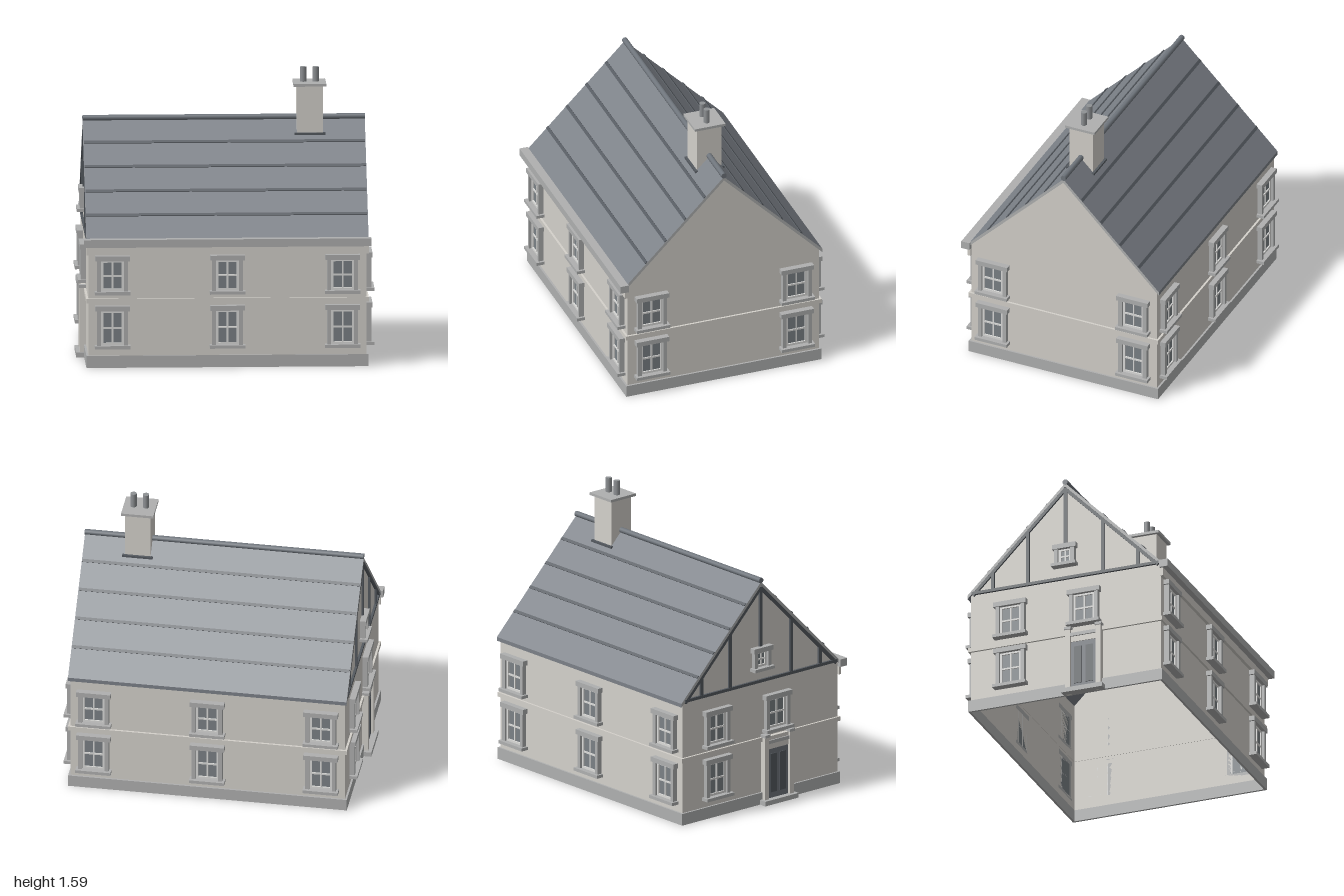
import * as THREE from 'three';

const mat = (name, color) => {
  const m = new THREE.MeshStandardMaterial({ color });
  m.name = name;
  return m;
};

// Half length, half width, eave height and ridge height of the wall shell
const L = 0.774, W = 0.569, EAVE = 0.715, PEAK = 1.288;
const SLOPE = (PEAK - EAVE) / W;

export function createModel() {
  const wall = mat('plaster', 0xd4d1cb);
  wall.side = THREE.DoubleSide;
  const stone = mat('greyStone', 0xafb0b0);
  const sash = mat('whiteSash', 0xdcdcda);
  const glass = mat('windowGlass', 0x7b8186);
  const door = mat('doorPaint', 0x6f757c);
  const slate = mat('roofSlate', 0x7c8188);
  const dark = mat('darkTimber', 0x555a60);
  const clay = mat('chimneyPot', 0x8f9295);

  const model = new THREE.Group();
  model.name = 'house';
  const house = new THREE.Group();
  house.name = 'turnedHouse';
  house.rotation.y = THREE.MathUtils.degToRad(41.2);
  house.position.set(-0.0215, 0, -0.014);
  model.add(house);

  const add = (parent, name, geo, m, x = 0, y = 0, z = 0) => {
    const mesh = new THREE.Mesh(geo, m);
    mesh.name = name;
    mesh.position.set(x, y, z);
    parent.add(mesh);
    return mesh;
  };
  // Box given by its bottom and top heights
  const box = (parent, name, m, w, y0, y1, d, x = 0, z = 0) =>
    add(parent, name, new THREE.BoxGeometry(w, y1 - y0, d), m, x, (y0 + y1) / 2, z);

  // Flat frame around the walls, open in the middle
  const ring = (name, m, out, y0, y1) => {
    const rect = (P, a, b) => {
      const p = new P();
      p.moveTo(-a, -b); p.lineTo(a, -b); p.lineTo(a, b); p.lineTo(-a, b); p.closePath();
      return p;
    };
    const s = rect(THREE.Shape, L + out, W + out);
    s.holes.push(rect(THREE.Path, L - 0.002, W - 0.002));
    const g = new THREE.ExtrudeGeometry(s, { depth: y1 - y0, bevelEnabled: false });
    g.rotateX(-Math.PI / 2);
    add(house, name, g, m, 0, y0, 0);
  };

  // One group per side; inside it x runs along the wall and z = 0 is its surface
  const side = (name, angle, dist) => {
    const turn = new THREE.Group(), face = new THREE.Group();
    turn.name = name + 'Side';
    face.name = name + 'Face';
    turn.rotation.y = angle;
    face.position.z = dist;
    turn.add(face);
    house.add(turn);
    return face;
  };
  const eaveFront = side('gutter', 0, W);
  const eaveBack = side('rear', Math.PI, W);
  const gableDoor = side('doorGable', -Math.PI / 2, L);
  const gablePlain = side('plainGable', Math.PI / 2, L);

  // Walls, open underneath
  for (const f of [eaveFront, eaveBack])
    add(f, 'longWall', new THREE.PlaneGeometry(2 * L, EAVE), wall, 0, EAVE / 2, 0);
  const gable = new THREE.Shape([[-W, 0], [W, 0], [W, EAVE], [0, PEAK], [-W, EAVE]]
    .map(p => new THREE.Vector2(...p)));
  for (const f of [gableDoor, gablePlain])
    add(f, 'gableWall', new THREE.ShapeGeometry(gable), wall);
  ring('plinth', stone, 0.011, 0, 0.068);
  ring('stringCourse', wall, 0.012, 0.365, 0.39);

  // Sash window with lintel, sill, jambs and crossed glazing bars
  const makeWindow = (face, x, y0, y1, w) => {
    const g = new THREE.Group();
    g.name = 'window';
    g.position.x = x;
    face.add(g);
    const a = y0 + 0.018, b = y1 - 0.028;
    box(g, 'sill', stone, w + 0.07, y0, a, 0.045, 0, 0.0225);
    box(g, 'lintel', stone, w + 0.065, b, y1, 0.034, 0, 0.017);
    box(g, 'glass', glass, w, a, b, 0.006, 0, 0.003);
    for (const s of [-1, 1]) {
      box(g, 'jamb', stone, 0.022, a, b, 0.028, s * (w / 2 + 0.011), 0.014);
      box(g, 'stile', sash, 0.013, a, b, 0.014, s * (w / 2 - 0.0065), 0.007);
    }
    box(g, 'bottomRail', sash, w, a, a + 0.013, 0.014, 0, 0.007);
    box(g, 'topRail', sash, w, b - 0.011, b, 0.014, 0, 0.007);
    box(g, 'glazingBar', sash, 0.009, a, b, 0.011, 0, 0.0055);
    box(g, 'meetingRail', sash, w, (a + b) / 2 - 0.005, (a + b) / 2 + 0.005, 0.012, 0, 0.006);
  };
  const floors = [[0.11, 0.35], [0.415, 0.633]];
  for (const [y0, y1] of floors) {
    for (const f of [eaveFront, eaveBack])
      for (const x of [-0.64, 0, 0.64]) makeWindow(f, x, y0, y1, 0.128);
    for (const x of [-0.43, 0.43]) makeWindow(gablePlain, x, y0, y1, 0.128);
    makeWindow(gableDoor, -0.325, y0, y1, 0.128);
  }
  const DOOR = 0.115;
  makeWindow(gableDoor, DOOR, ...floors[1], 0.128);
  makeWindow(gableDoor, 0, 0.79, 0.925, 0.075);

  // Door with pilasters, head and step
  const entry = new THREE.Group();
  entry.name = 'entrance';
  entry.position.x = DOOR;
  gableDoor.add(entry);
  box(entry, 'doorLeaf', door, 0.152, 0.005, 0.315, 0.024, 0, 0.008);
  for (const s of [-1, 1]) {
    box(entry, 'doorPanel', dark, 0.045, 0.06, 0.285, 0.006, s * 0.034, 0.021);
    box(entry, 'pilaster', wall, 0.03, 0, 0.39, 0.034, s * 0.091, 0.017);
    box(entry, 'capital', stone, 0.038, 0.39, 0.406, 0.04, s * 0.091, 0.02);
  }
  box(entry, 'doorHead', wall, 0.152, 0.315, 0.39, 0.024, 0, 0.012);
  box(entry, 'headMoulding', stone, 0.152, 0.348, 0.368, 0.032, 0, 0.016);
  box(entry, 'doorstep', stone, 0.245, 0, 0.027, 0.055, 0, 0.0275);

  // Timber framing in the gable over the door
  box(gableDoor, 'tieBeam', dark, 2 * W - 0.02, 0.714, 0.731, 0.014, 0, 0.006);
  for (const x of [-0.435, -0.225, 0, 0.225, 0.435]) {
    const top = PEAK - SLOPE * Math.abs(x) - 0.015;
    if (x) box(gableDoor, 'post', dark, 0.02, 0.72, top, 0.012, x, 0.005);
    else box(gableDoor, 'kingPost', dark, 0.02, 0.925, top, 0.012, 0, 0.005);
  }
  for (const s of [-1, 1]) {
    const r = box(gableDoor, 'rafter', dark, Math.hypot(W, PEAK - EAVE) - 0.02,
      -0.009, 0.009, 0.012, s * (W / 2 - 0.008), 0.005);
    r.position.y = (PEAK + EAVE) / 2 - 0.012;
    r.rotation.z = -s * Math.atan(SLOPE);
  }

  // Roof: a chevron drawn across the house with pale verge ends
  const E = 0.585, RIDGE = 1.303, DROP = RIDGE - SLOPE * E;
  const chevron = new THREE.Shape([[-E, DROP - 0.022], [0, RIDGE - 0.022], [E, DROP - 0.022],
    [E, DROP], [0, RIDGE], [-E, DROP]].map(p => new THREE.Vector2(...p)));
  const roofGeo = new THREE.ExtrudeGeometry(chevron, { depth: 2 * (L + 0.011), bevelEnabled: false });
  roofGeo.translate(0, 0, -L - 0.011);
  roofGeo.rotateY(Math.PI / 2);
  add(house, 'roof', roofGeo, [stone, slate]);
  for (const s of [-1, 1])
    for (const y of [0.84, 0.956, 1.073, 1.19]) {
      const c = box(house, 'slateCourse', dark, 2 * L + 0.016, -0.004, 0.004, 0.017, 0, s * (RIDGE - y) / SLOPE);
      c.position.y = y + 0.001;
      c.rotation.x = s * Math.atan(SLOPE);
    }
  const ridge = new THREE.CylinderGeometry(0.016, 0.016, 2 * L + 0.024, 10);
  ridge.rotateZ(Math.PI / 2);
  add(house, 'ridgeTiles', ridge, door, 0, RIDGE + 0.007, 0);

  // Fascia and gutter along one eave
  box(eaveFront, 'fascia', wall, 2 * L + 0.024, 0.637, 0.684, 0.018, 0, 0.009);
  box(eaveFront, 'gutter', stone, 2 * L + 0.05, 0.684, 0.728, 0.05, 0, 0.025);

  // Chimney astride the ridge
  const chimney = new THREE.Group();
  chimney.name = 'chimney';
  chimney.position.x = 0.477;
  house.add(chimney);
  box(chimney, 'stack', wall, 0.145, 1.2, 1.495, 0.145);
  box(chimney, 'flashing', dark, 0.172, 1.22, 1.232, 0.172);
  box(chimney, 'chimneyCap', stone, 0.182, 1.493, 1.508, 0.182);
  for (const x of [-0.035, 0.035])
    add(chimney, 'chimneyPot', new THREE.CylinderGeometry(0.018, 0.018, 0.085, 8), clay, x, 1.548, 0);

  return model;
}
